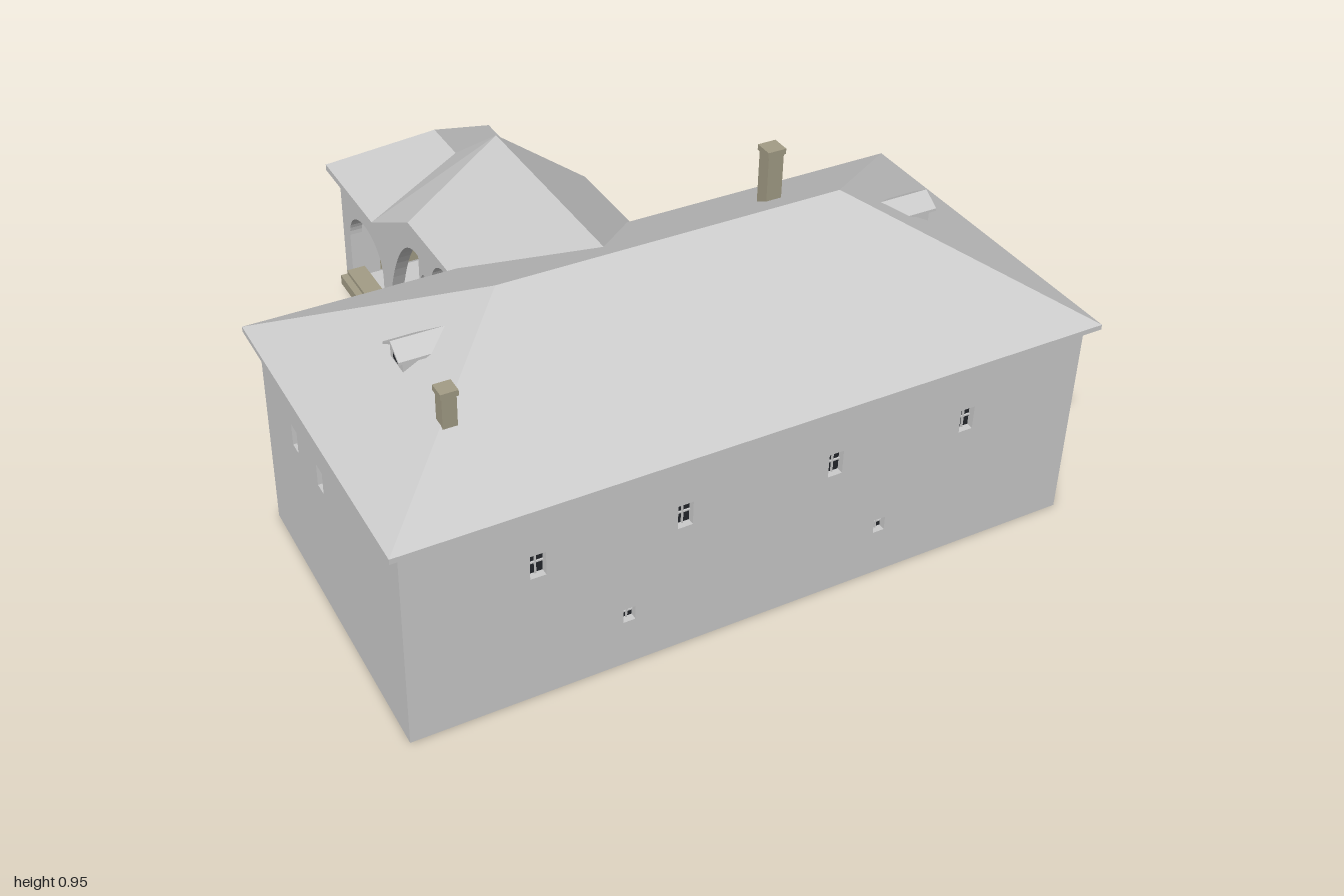
import * as THREE from 'three';

const mat = (color) => new THREE.MeshStandardMaterial({ color, flatShading: true, side: THREE.DoubleSide });
const T = 0.04; // wall thickness
const CX = -0.125; // centre line of the wing

export function createModel() {
  const root = new THREE.Group();
  const grey = mat(0xcccccc), glass = mat(0x23262b), stone = mat(0xa39d86), green = mat(0x2f7560);

  const add = (name, geo, material = grey, parent = root) => {
    const m = new THREE.Mesh(geo, material);
    m.name = name;
    parent.add(m);
    return m;
  };
  // Box given by its min and max corners
  const box = (name, a, b, material, parent) => add(name,
    new THREE.BoxGeometry(b[0] - a[0], b[1] - a[1], b[2] - a[2])
      .translate((a[0] + b[0]) / 2, (a[1] + b[1]) / 2, (a[2] + b[2]) / 2), material, parent);

  const shapeOf = (pts) => new THREE.Shape(pts.map((p) => new THREE.Vector2(...p)));
  // Rectangular opening with an optional elliptical head
  const opening = (u, w, y0, y1, rise = 0) => {
    const p = new THREE.Path();
    p.moveTo(u - w / 2, y0);
    p.lineTo(u + w / 2, y0);
    p.lineTo(u + w / 2, y1 - rise);
    if (rise) p.absellipse(u, y1 - rise, w / 2, rise, 0, Math.PI, false);
    else p.lineTo(u - w / 2, y1);
    p.lineTo(u - w / 2, y0);
    return p;
  };

  // Wall facing +z locally, turned to its side; windows: [u, width, bottom, top, rise, style]
  const facade = (name, pts, dist, angle, windows, holes = []) => {
    const g = new THREE.Group();
    g.name = name;
    g.rotation.y = angle;
    root.add(g);
    const shape = shapeOf(pts);
    shape.holes.push(...holes);
    for (const [u, w, y0, y1, rise = 0, style = 'bars'] of windows) {
      shape.holes.push(opening(u, w, y0, y1, rise));
      const l = u - w / 2, r = u + w / 2, ym = (y0 + y1) / 2;
      const door = style === 'door';
      box(door ? 'door' : 'pane', [l, y0, dist - 0.028], [r, y1, dist - 0.02], door ? green : glass, g);
      if (style === 'plain') continue;
      box('mullion', [u - 0.002, y0, dist - 0.021], [u + 0.002, y1, dist - 0.015], door ? green : grey, g);
      if (!door) box('transom', [l, ym - 0.002, dist - 0.021], [r, ym + 0.002, dist - 0.015], grey, g);
      if (style === 'shutters') {
        for (const [a, b] of [[l - w / 2, l], [r, r + w / 2]]) {
          box('shutter', [a, y0, dist - 0.005], [b, y1, dist + 0.006], green, g);
        }
      }
    }
    add('wall', new THREE.ExtrudeGeometry(shape, { depth: T, bevelEnabled: false, curveSegments: 12 })
      .translate(0, 0, dist - T), grey, g);
    return g;
  };
  const rect = (a, b, h) => [[a, 0], [b, 0], [b, h], [a, h]];

  // Main house
  box('houseCore', [-0.925, 0, 0.075], [0.925, 0.59, 0.935]);
  facade('frontWall', rect(-0.96, 0.96, 0.592), 0.97, 0, [
    ...[-0.615, -0.22, 0.21, 0.61].map((u) => [u, 0.042, 0.385, 0.455]),
    ...[-0.37, 0.365].map((u) => [u, 0.034, 0.14, 0.182])]);
  facade('leftWall', rect(-0.93, -0.08, 0.592), 0.96, Math.PI / 2, [
    [-0.81, 0.046, 0.365, 0.508, 0.023], [-0.52, 0.046, 0.365, 0.508, 0.023], [-0.23, 0.046, 0.365, 0.495]]);
  facade('rightWall', rect(0.08, 0.93, 0.592), 0.96, -Math.PI / 2,
    [[0.27, 0.04, 0.395, 0.46], [0.45, 0.04, 0.395, 0.46]]);
  facade('backWall', rect(-0.96, 0.96, 0.592), -0.04, Math.PI, [
    [0.46, 0.05, 0.365, 0.49, 0, 'shutters'], [-0.195, 0.05, 0.365, 0.49, 0, 'shutters'],
    [0.43, 0.065, 0.07, 0.18, 0, 'door'], [0.63, 0.06, 0.06, 0.16, 0, 'door'],
    [-0.17, 0.065, 0.07, 0.18, 0, 'door'], [-0.55, 0.075, 0.02, 0.16, 0, 'door'],
    [-0.51, 0.035, 0.37, 0.43, 0, 'shutters'], [-0.71, 0.05, 0.11, 0.18, 0, 'shutters'],
    [-0.42, 0.045, 0.09, 0.155]]);

  // Faces from corner points, triangulated as fans
  const faceted = (polys) => {
    const pos = [];
    for (const p of polys) {
      for (let i = 1; i < p.length - 1; i++) pos.push(...p[0], ...p[i], ...p[i + 1]);
    }
    const g = new THREE.BufferGeometry();
    g.setAttribute('position', new THREE.Float32BufferAttribute(pos, 3));
    g.computeVertexNormals();
    return g;
  };

  // Main hipped roof and eaves
  box('cornice', [-0.975, 0.588, 0.02], [0.975, 0.602, 0.985]);
  box('eaves', [-0.99, 0.6, 0], [0.99, 0.615, 1]);
  const [A, B, C, D, E, F] = [[-0.99, 0.615, 1], [0.99, 0.615, 1], [0.99, 0.615, 0], [-0.99, 0.615, 0],
    [-0.495, 0.89, 0.5], [0.49, 0.89, 0.5]];
  add('mainRoof', faceted([[A, B, F, E], [B, C, F], [C, D, E, F], [D, A, E]]));

  // Wing roof: cross-sections [z, eave height, ridge height], hipped at the far end
  const sections = [[0.36, 0.6, 0.81], [-0.3, 0.6, 0.81], [-0.6, 0.435, 0.6], [-0.76, 0.435, 0.6], [-0.985, 0.435, 0.435]]
    .map(([z, e, r]) => [[CX - 0.28, e, z], [CX, r, z], [CX + 0.28, e, z],
      [CX + 0.28, e - 0.02, z], [CX, r - 0.02, z], [CX - 0.28, e - 0.02, z]]);
  const polys = [];
  for (let s = 0; s < sections.length - 1; s++) {
    for (let i = 0; i < 6; i++) {
      const j = (i + 1) % 6;
      const a = sections[s][i], b = sections[s][j], c = sections[s + 1][i], d = sections[s + 1][j];
      if (i % 3 === 0) polys.push([a, b, c], [b, d, c]);
      else polys.push([a, b, d], [a, d, c]);
    }
  }
  const end = sections[sections.length - 1];
  polys.push([end[2], end[3], end[5], end[0]].reverse());
  add('wingRoof', faceted(polys));

  // Wing side walls with loggia arch, raking stair arch, porch arch and round opening
  for (const s of [1, -1]) {
    const dist = s > 0 ? CX + 0.25 : 0.25 - CX;
    const U = (z) => -s * z; // along-wall coordinate
    const rake = new THREE.Path();
    rake.moveTo(U(-0.31), 0.36);
    rake.lineTo(U(-0.31), 0.472);
    rake.bezierCurveTo(U(-0.4), 0.485, U(-0.48), 0.4, U(-0.54), 0.235);
    rake.lineTo(U(-0.31), 0.36);
    const eye = new THREE.Path().absarc(U(-0.265), 0.395, 0.034, 0, Math.PI * 2, false);
    const outline = [[0.04, 0], [-0.95, 0], [-0.95, 0.447], [-0.6, 0.447], [-0.3, 0.612], [0.04, 0.612]]
      .map(([z, y]) => [U(z), y]);
    const g = facade('wingSideWall', outline, dist, s * Math.PI / 2,
      [[U(-0.135), 0.034, 0.125, 0.19, 0.017, 'plain'], [U(-0.37), 0.03, 0.12, 0.17, 0, 'plain']],
      [opening(U(-0.115), 0.21, 0.36, 0.53, 0.105), rake, eye, opening(U(-0.75), 0.28, 0.05, 0.33, 0.11)]);
    const ball = new THREE.SphereGeometry(0.032, 16, 10).translate(U(-0.265), 0.395, dist - 0.02);
    add('ballOrnament', ball, grey, g).material = new THREE.MeshStandardMaterial({ color: 0xcccccc });
    const u0 = U(-0.75);
    box('sill', [u0 - 0.14, 0.048, dist - T], [u0 + 0.14, 0.08, dist + 0.042], stone, g);
    box('sillTop', [u0 - 0.14, 0.08, dist - T], [u0 + 0.14, 0.092, dist + 0.02], stone, g);
  }
  const porch = facade('porchEndWall', rect(-CX - 0.21, -CX + 0.21, 0.45), 0.95, Math.PI, [],
    [opening(-CX, 0.3, 0.05, 0.33, 0.11)]);
  box('sill', [-CX - 0.15, 0.048, 0.91], [-CX + 0.15, 0.08, 1], stone, porch);
  box('sillTop', [-CX - 0.15, 0.08, 0.91], [-CX + 0.15, 0.092, 0.97], stone, porch);

  // Porch floor, stair up to the loggia and loggia floor
  const x0 = CX - 0.212, x1 = CX + 0.212;
  box('porchFloor', [x0, 0, -0.912], [x1, 0.045, 0.04]);
  const steps = 12;
  for (let i = 0; i < steps; i++) {
    const z = -0.58 + i * 0.025;
    box('step', [x0, 0.01, z], [x1, 0.07 + (i * 0.27) / (steps - 1), z + 0.025], stone);
  }
  box('loggiaFloor', [x0, 0.3, -0.285], [x1, 0.345, 0.04]);

  // Chimneys with caps
  for (const [x, z, w, y0, y1] of [[0.39, 0.322, 0.046, 0.72, 0.955], [-0.74, 0.758, 0.038, 0.7, 0.84]]) {
    const h = w / 2;
    box('chimney', [x - h, y0, z - h], [x + h, y1, z + h], stone);
    box('chimneyCap', [x - h - 0.004, y1 - 0.016, z - h - 0.004], [x + h + 0.004, y1, z + h + 0.004], stone);
  }

  // Gabled dormers on both roof ends
  for (const s of [1, -1]) {
    const g = new THREE.Group();
    g.name = 'dormer';
    g.rotation.y = s * Math.PI / 2;
    g.position.z = 0.5;
    root.add(g);
    const prism = (name, pts, front) => add(name,
      new THREE.ExtrudeGeometry(shapeOf(pts), { depth: 0.2, bevelEnabled: false }).translate(0, 0, front - 0.2), grey, g);
    prism('dormerBody', [[-0.039, 0.733], [0.039, 0.733], [0.039, 0.777], [0, 0.803], [-0.039, 0.777]], 0.758);
    prism('dormerRoof', [[-0.05, 0.775], [0, 0.806], [0.05, 0.775], [0.05, 0.783], [0, 0.815], [-0.05, 0.783]], 0.772);
    box('dormerWindow', [-0.016, 0.752, 0.75], [0.016, 0.784, 0.76], glass, g);
  }
  return root;
}
